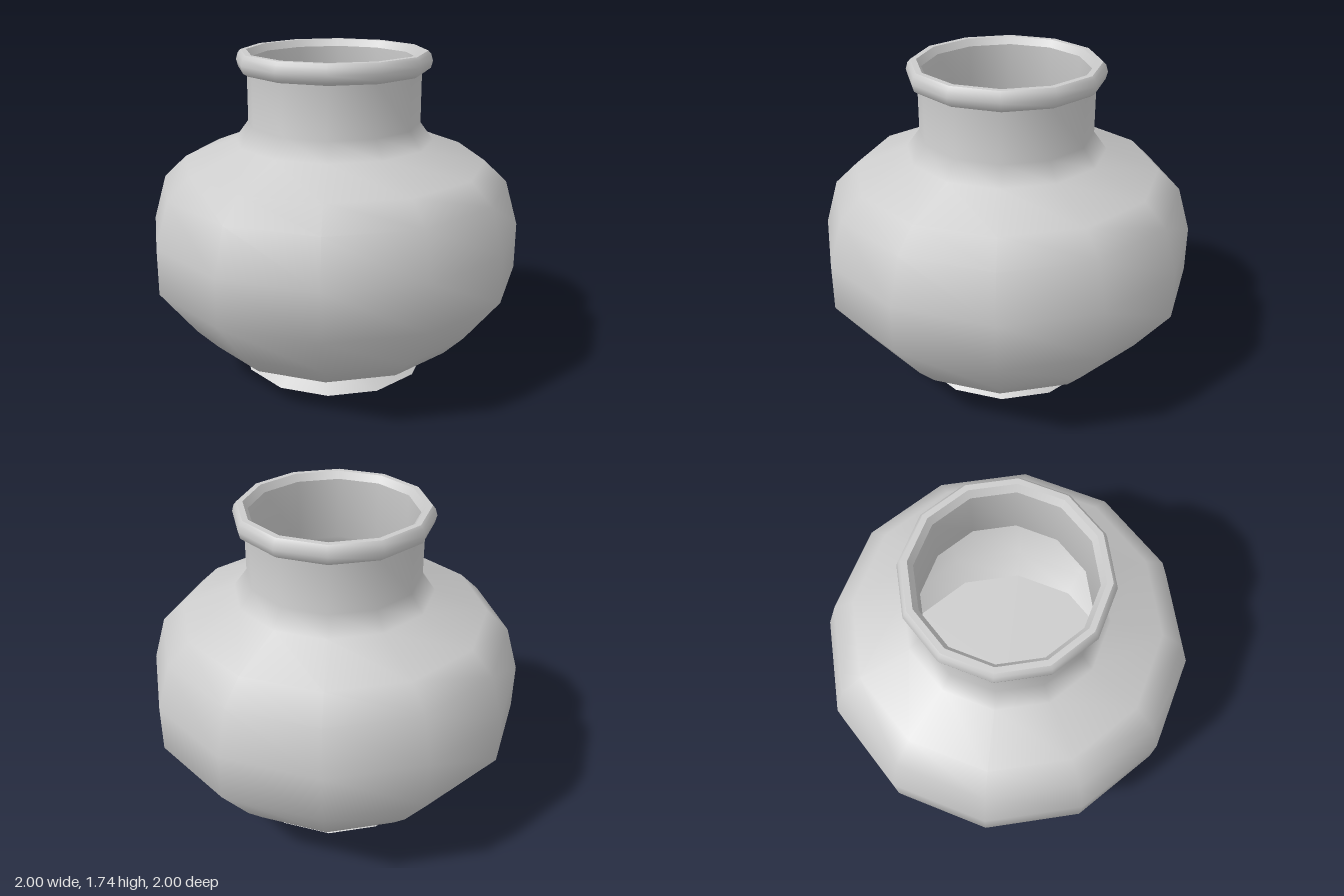
import * as THREE from 'three';

const SIDES = 12;
const material = new THREE.MeshStandardMaterial({ color: 0xcccccc });

// Turned part from [radius, height] pairs; smooth inside a part, sharp between parts
function turned(name, profile) {
  const points = profile.map(([r, y]) => new THREE.Vector2(r, y));
  const mesh = new THREE.Mesh(new THREE.LatheGeometry(points, SIDES), material);
  mesh.name = name;
  return mesh;
}

export function createModel() {
  const jar = new THREE.Group();
  jar.name = 'jar';
  jar.add(
    // Flared foot and its flat underside
    turned('footBase', [[0, 0], [0.515, 0]]),
    turned('foot', [[0.515, 0], [0.39, 0.085]]),
    // Rounded belly, shoulder and straight neck
    turned('body', [
      [0.39, 0.085], [0.7, 0.185], [0.81, 0.3], [1, 0.55], [1, 0.8], [0.93, 1.04],
      [0.81, 1.155], [0.53, 1.265], [0.46, 1.36], [0.46, 1.635],
    ]),
    // Rolled rim: underside, outer bead, top and inner bevel
    turned('rimUnderside', [[0.46, 1.632], [0.48, 1.632]]),
    turned('rimBead', [[0.48, 1.632], [0.505, 1.648], [0.515, 1.685], [0.505, 1.72], [0.49, 1.737]]),
    turned('rimTop', [[0.49, 1.737], [0.46, 1.737]]),
    turned('rimBevel', [[0.46, 1.737], [0.435, 1.7]]),
    // Hollow inside with a flat floor
    turned('innerWall', [
      [0.435, 1.7], [0.435, 1.36], [0.51, 1.24], [0.79, 1.13], [0.9, 1.02],
      [0.97, 0.79], [0.97, 0.56], [0.78, 0.32], [0.67, 0.21],
    ]),
    turned('innerFloor', [[0.67, 0.21], [0, 0.21]]),
  );
  return jar;
}
